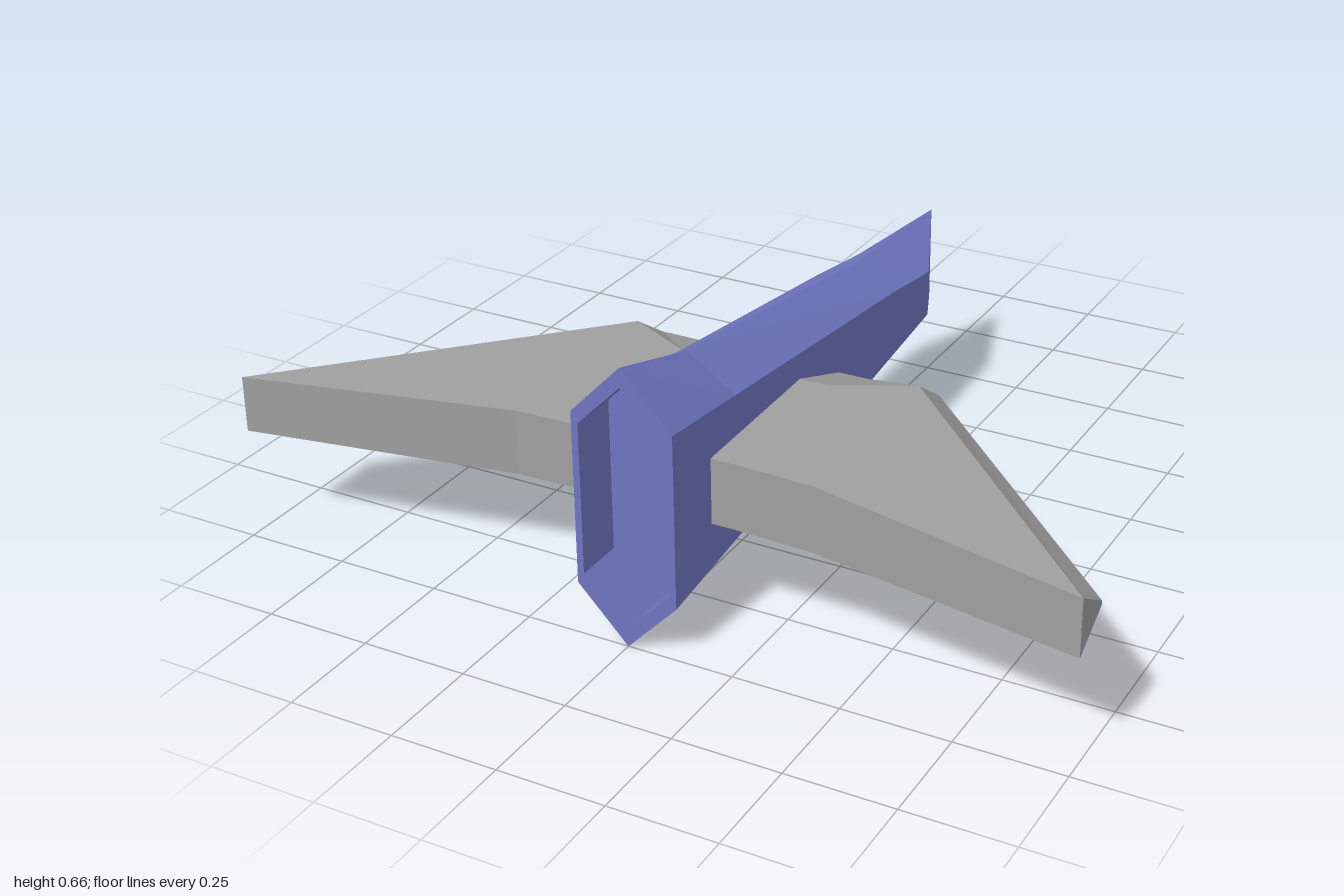
import * as THREE from 'three';

// Skins a list of equal-length rings (counter-clockwise seen from the last ring) and caps both ends.
function loft(rings) {
  const pos = [];
  const tri = (a, b, c) => pos.push(...a, ...b, ...c);
  const n = rings[0].length;
  for (let s = 0; s < rings.length - 1; s++) {
    const a = rings[s], b = rings[s + 1];
    for (let i = 0; i < n; i++) {
      const j = (i + 1) % n;
      tri(a[i], a[j], b[j]);
      tri(a[i], b[j], b[i]);
    }
  }
  const first = rings[0], last = rings[rings.length - 1];
  for (let i = 1; i < n - 1; i++) {
    tri(first[0], first[i + 1], first[i]);
    tri(last[0], last[i], last[i + 1]);
  }
  const g = new THREE.BufferGeometry();
  g.setAttribute('position', new THREE.Float32BufferAttribute(pos, 3));
  g.computeVertexNormals();
  return g;
}

// Tall six-sided body section at depth z
const hexRing = ([z, w, bottom, low, high, top]) => [
  [w, low, z], [w, high, z], [0, top, z], [-w, high, z], [-w, low, z], [0, bottom, z],
];

// Wing section at x: flat front face, flat top and bottom, bevelled back edge
const wingRing = ([x, front, ridge, back, half]) => {
  const y = 0.333, e = 0.005;
  return [
    [x, y + half, ridge], [x, y + half, front], [x, y - half, front],
    [x, y - half, ridge], [x, y - e, back], [x, y + e, back],
  ];
};

export function createModel() {
  const group = new THREE.Group();
  const blue = new THREE.MeshStandardMaterial({ color: 0x6e75bf });
  blue.name = 'periwinkleBlue';
  const grey = new THREE.MeshStandardMaterial({ color: 0x9f9f9f });
  grey.name = 'grey';

  // Body from the wedge end to the wide front, then back in to form the recess
  const body = new THREE.Mesh(loft([
    [-0.75, 0, 0.215, 0.215, 0.45, 0.45],
    [-0.52, 0.1, 0.183, 0.275, 0.39, 0.461],
    [-0.32, 0.103, 0.155, 0.252, 0.418, 0.471],
    [0.48, 0.116, 0.043, 0.161, 0.507, 0.585],
    [0.75, 0.12, 0.005, 0.13, 0.537, 0.662],
    [0.75, 0.104, 0.05, 0.155, 0.512, 0.617],
    [0.63, 0.104, 0.05, 0.155, 0.512, 0.617],
  ].map(hexRing)), blue);
  body.name = 'body';
  group.add(body);

  // Wings in one mirrored span through the body
  const half = [
    [0.18, 0.593, 0.18, -0.02, 0.078],
    [0.36, 0.6, 0.09, -0.02, 0.078],
    [1, 0.73, 0.73, 0.625, 0.067],
  ];
  const mirrored = half.map(([x, ...rest]) => [-x, ...rest]).reverse();
  const wings = new THREE.Mesh(loft([...mirrored, ...half].map(wingRing)), grey);
  wings.name = 'wings';
  group.add(wings);

  return group;
}
